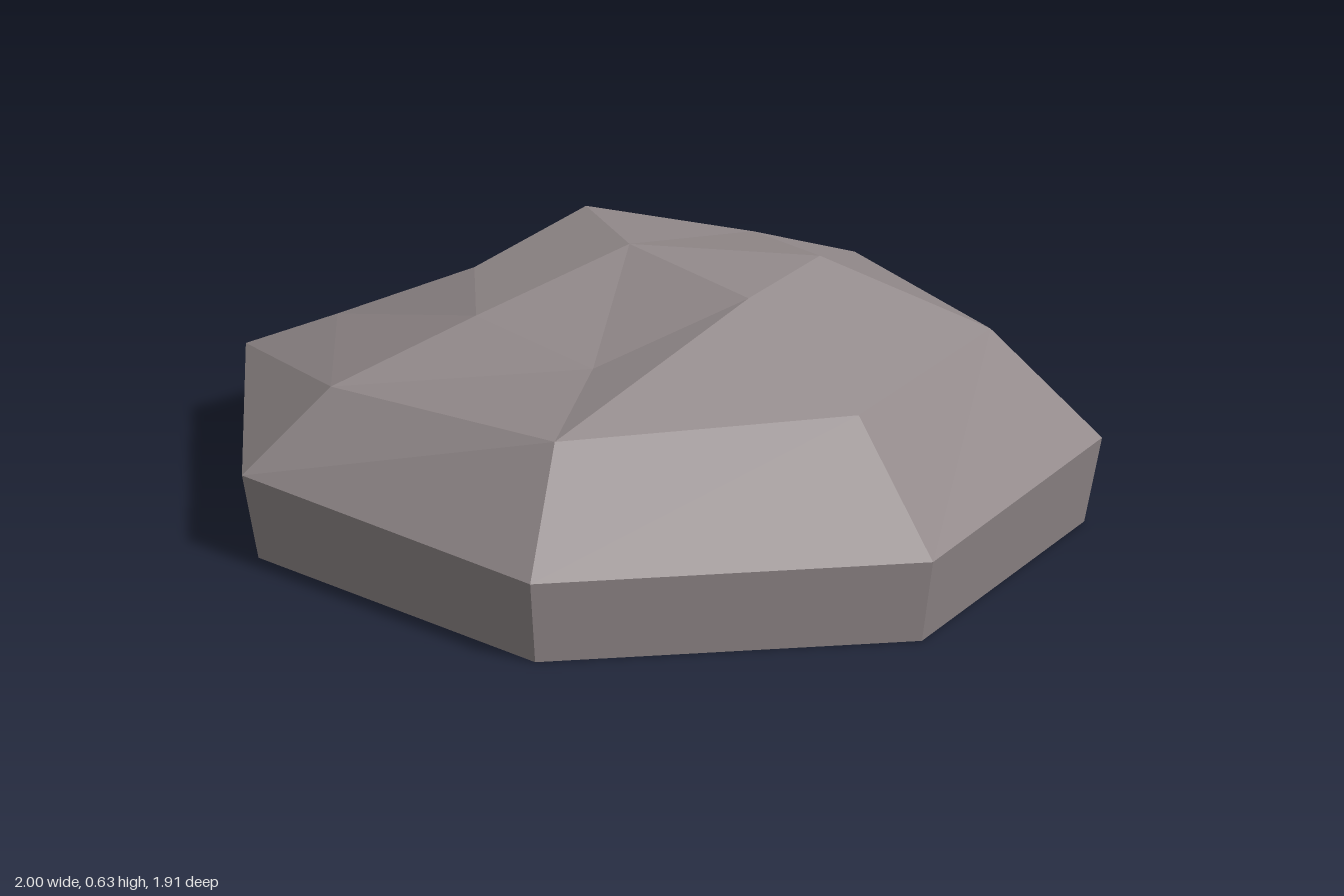
import * as THREE from 'three';

// Closed stone surface: rings of corners (base to top) capped by an apex and a flat underside
function stoneGeometry(rings, apex) {
  const pos = [];
  const tri = (...pts) => pts.forEach((p) => pos.push(...p));
  const n = rings[0].length;
  for (let i = 0; i < n; i++) {
    const j = (i + 1) % n;
    for (let r = 0; r < rings.length - 1; r++) {
      const lo = rings[r], hi = rings[r + 1];
      tri(lo[j], lo[i], hi[i]);
      tri(lo[j], hi[i], hi[j]);
    }
    const top = rings[rings.length - 1];
    tri(top[j], top[i], apex);
    tri(rings[0][i], rings[0][j], [0, 0, 0]);
  }
  const geo = new THREE.BufferGeometry();
  geo.setAttribute('position', new THREE.Float32BufferAttribute(pos, 3));
  geo.computeVertexNormals();
  return geo;
}

export function createModel() {
  const group = new THREE.Group();
  group.name = 'rock';
  const stone = new THREE.MeshStandardMaterial({ color: 0x948b8c, flatShading: true });
  stone.name = 'warm grey stone';

  // Seven-sided rim, clockwise seen from above, starting at the back
  const rim = [
    [0.03, 0.2, -0.96], [0.85, 0.2, -0.51], [1.0, 0.2, 0.31], [0.37, 0.2, 0.95],
    [-0.53, 0.2, 0.81], [-1.0, 0.2, 0.17], [-0.79, 0.2, -0.56],
  ];
  // Foot, slightly tucked in
  const foot = rim.map(([x, , z]) => [x * 0.96, 0, z * 0.96]);
  // Uneven shoulder and crown
  const shoulder = [
    [0.01, 0.375, -0.72], [0.64, 0.45, -0.38], [0.75, 0.47, 0.25], [0.28, 0.45, 0.74],
    [-0.42, 0.38, 0.63], [-0.77, 0.315, 0.14], [-0.61, 0.32, -0.41],
  ];
  const crown = [
    [0.0, 0.535, -0.36], [0.32, 0.61, -0.18], [0.375, 0.628, 0.155], [0.13, 0.48, 0.4],
    [-0.23, 0.505, 0.35], [-0.43, 0.49, 0.09], [-0.34, 0.565, -0.2],
  ];

  const rock = new THREE.Mesh(stoneGeometry([foot, rim, shoulder, crown], [-0.04, 0.622, 0.04]), stone);
  rock.name = 'stone';
  group.add(rock);
  return group;
}
